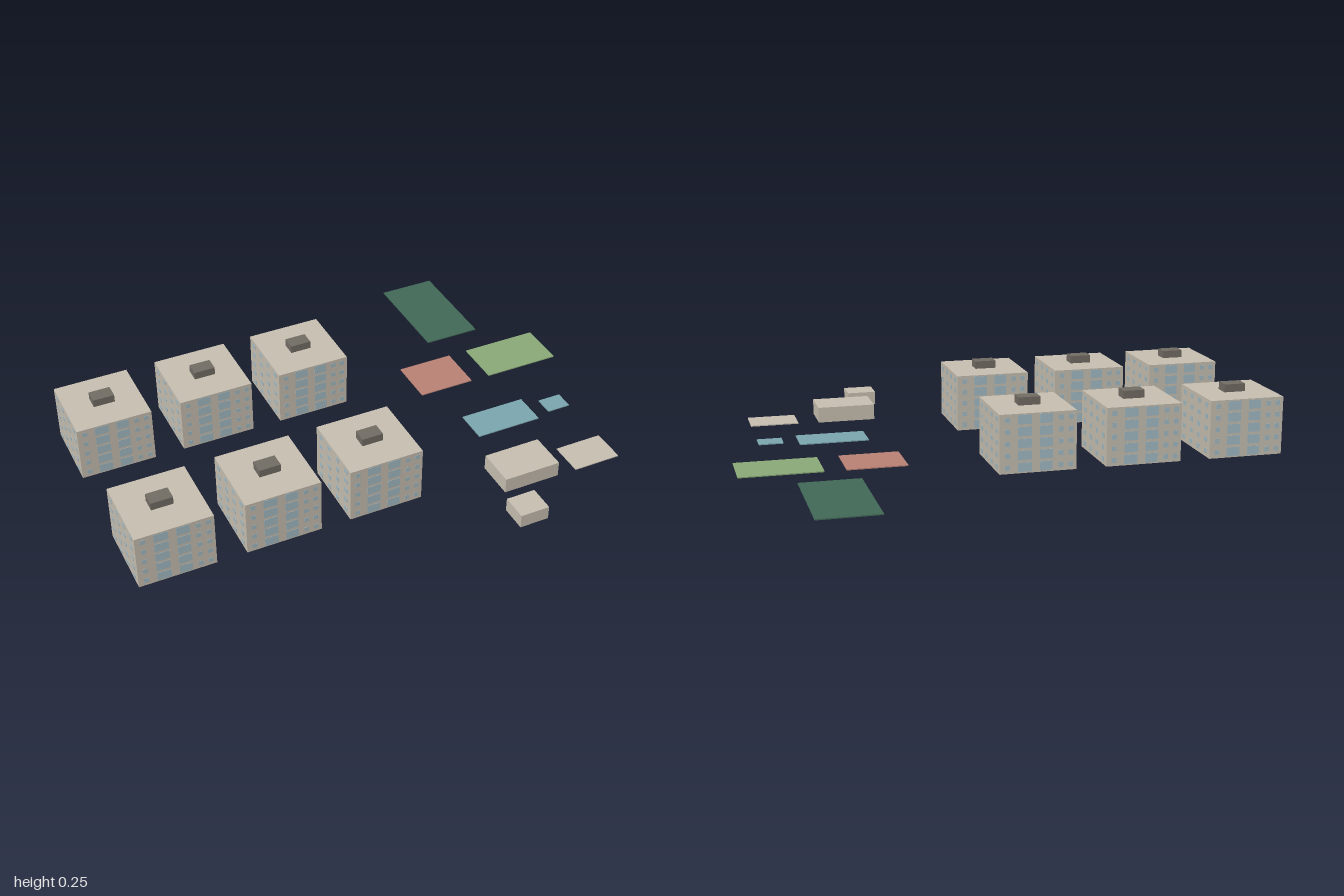
import * as THREE from 'three';

const mat = (name, color) => Object.assign(new THREE.MeshStandardMaterial({ color }), { name });

export function createModel() {
  const wall = mat('concrete', 0xc8c0b2);
  const roofBox = mat('dark concrete', 0x736d64);
  const glass = mat('window glass', 0xa3bcc6);
  const forest = mat('dark green', 0x426a58);
  const grass = mat('grass green', 0x8aab78);
  const clay = mat('clay red', 0xbb8375);
  const water = mat('water blue', 0x7ca8b0);

  const model = new THREE.Group();
  model.name = 'residentialBlock';

  // Box given by its lower and upper limits on each axis
  function block(parent, name, material, x0, x1, y0, y1, z0, z1) {
    const mesh = new THREE.Mesh(new THREE.BoxGeometry(x1 - x0, y1 - y0, z1 - z0), material);
    mesh.position.set((x0 + x1) / 2, (y0 + y1) / 2, (z0 + z1) / 2);
    mesh.name = name;
    parent.add(mesh);
  }

  // Window columns on one facade: [offset, width, height]
  const longSide = [[-0.115, 0.018, 0.018], [-0.05, 0.052, 0.034], [0.03, 0.048, 0.034], [0.085, 0.018, 0.018], [0.122, 0.018, 0.018]];
  const shortSide = [[-0.105, 0.024, 0.018], [-0.035, 0.024, 0.018], [0.035, 0.024, 0.018], [0.105, 0.024, 0.018]];
  const SIZE = 0.288, HEIGHT = 0.22, FLOORS = 5;

  function facade(name, columns, angle) {
    const group = new THREE.Group();
    group.name = name;
    for (let floor = 0; floor < FLOORS; floor++) {
      const y = (floor + 0.5) * HEIGHT / FLOORS;
      for (const [x, w, h] of columns) {
        block(group, 'window', glass, x - w / 2, x + w / 2, y - h / 2, y + h / 2, SIZE / 2 - 0.002, SIZE / 2 + 0.001);
      }
    }
    group.rotation.y = angle;
    return group;
  }

  // Six apartment towers in two rows
  for (const z of [-0.299, 0.336]) {
    for (const x of [-0.855, -0.453, -0.051]) {
      const tower = new THREE.Group();
      tower.name = 'apartmentTower';
      const s = SIZE / 2;
      block(tower, 'towerBody', wall, -s, s, 0, HEIGHT, -s, s);
      block(tower, 'roofHouse', roofBox, -0.041, 0.041, HEIGHT, 0.25, -0.028, 0.028);
      tower.add(
        facade('frontWindows', longSide, 0),
        facade('backWindows', longSide, Math.PI),
        facade('rightWindows', shortSide, Math.PI / 2),
        facade('leftWindows', shortSide, -Math.PI / 2),
      );
      tower.position.set(x, 0, z);
      model.add(tower);
    }
  }

  // Sports fields and lawn
  block(model, 'sportsField', forest, 0.575, 0.803, 0, 0.004, -0.787, -0.37);
  block(model, 'clayCourt', clay, 0.383, 0.61, 0, 0.004, -0.25, -0.06);
  block(model, 'lawn', grass, 0.69, 1, 0, 0.004, -0.25, -0.06);

  // Pools
  block(model, 'largePool', water, 0.46, 0.727, 0, 0.004, 0.134, 0.268);
  block(model, 'smallPool', water, 0.785, 0.88, 0, 0.004, 0.172, 0.248);

  // Low buildings and paved terrace
  block(model, 'clubHouse', wall, 0.383, 0.61, 0.004, 0.065, 0.442, 0.595);
  block(model, 'terrace', wall, 0.69, 0.88, 0, 0.004, 0.46, 0.595);
  block(model, 'gateHouse', wall, 0.335, 0.45, 0.006, 0.06, 0.682, 0.785);

  return model;
}
